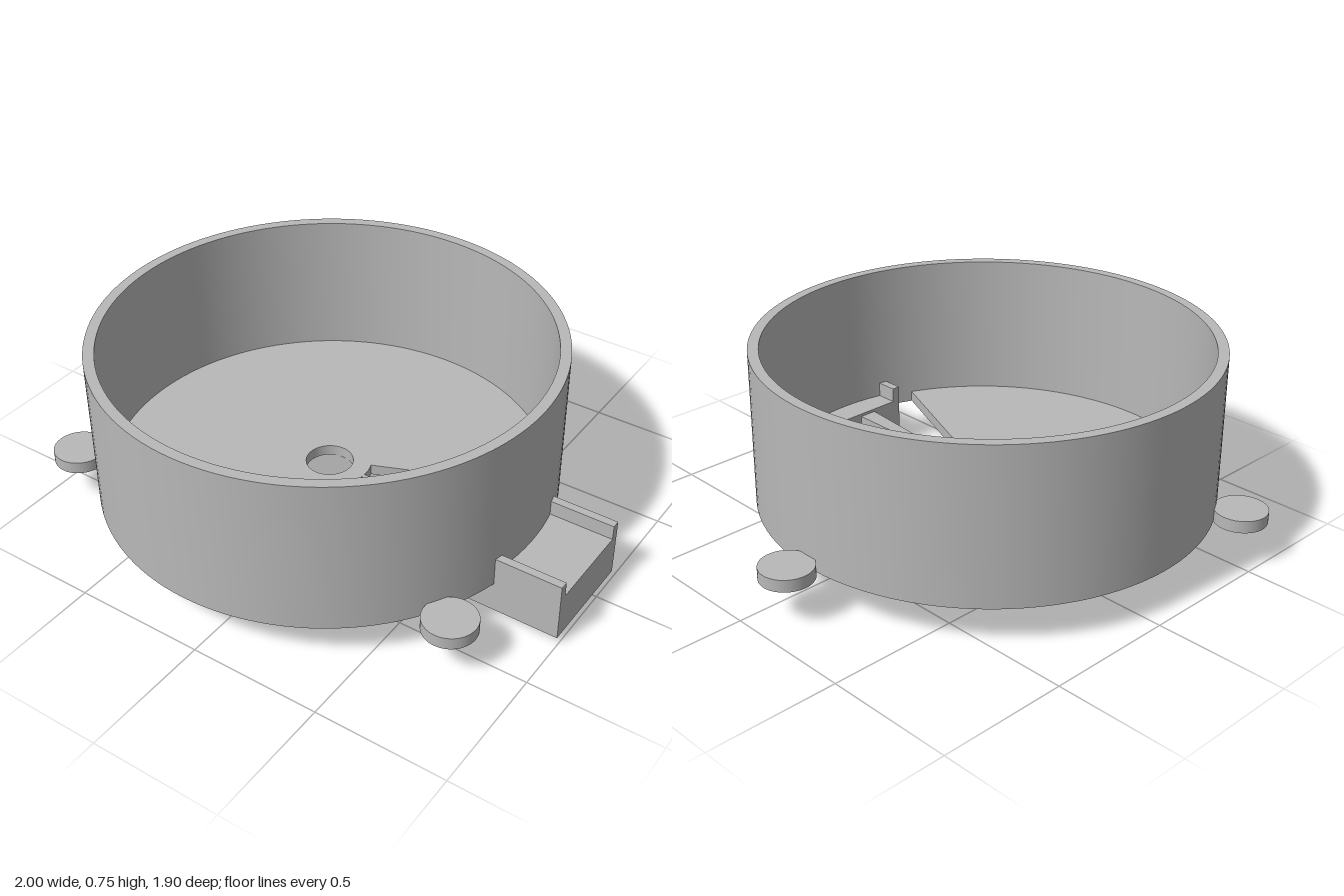
import * as THREE from 'three';
import { toCreasedNormals } from 'three/addons/utils/BufferGeometryUtils.js';

const CX = -0.085, CZ = 0.0875;          // drum axis
const BASE = 0.15, FLOOR_TOP = 0.192, RIM = 0.745;
const R_OUT = 0.855, R_IN = 0.815, R_HUB = 0.157, R_HOLE = 0.088;
const GAP = Math.PI / 8;                 // half angle of the floor opening

export function createModel() {
  const model = new THREE.Group();
  const grey = new THREE.MeshStandardMaterial({ color: 0xb8b8b8 });
  grey.name = 'plain grey';

  const add = (name, geometry, x, y, z) => {
    const mesh = new THREE.Mesh(geometry, grey);
    mesh.name = name;
    mesh.position.set(x, y, z);
    model.add(mesh);
  };
  const box = (name, x0, x1, y0, y1, z0, z1) =>
    add(name, new THREE.BoxGeometry(x1 - x0, y1 - y0, z1 - z0),
      (x0 + x1) / 2, (y0 + y1) / 2, (z0 + z1) / 2);
  // flat plate drawn in plan (shape y = model z), hanging down from FLOOR_TOP
  const plate = (name, shape) => {
    const g = new THREE.ExtrudeGeometry(shape, {
      depth: FLOOR_TOP - BASE, bevelEnabled: false, curveSegments: 96 });
    g.rotateX(Math.PI / 2);
    add(name, toCreasedNormals(g, 0.5), CX, FLOOR_TOP, CZ);
  };

  // drum wall
  const profile = [[R_IN, BASE], [R_OUT, BASE], [R_OUT, RIM], [R_IN, RIM], [R_IN, BASE]]
    .map(([r, y]) => new THREE.Vector2(r, y));
  add('drumWall', toCreasedNormals(new THREE.LatheGeometry(profile, 128), 0.5), CX, 0, CZ);

  // floor with a wedge opening and a hub hole
  const floor = new THREE.Shape();
  floor.absarc(0, 0, R_IN, GAP, 2 * Math.PI - GAP, false);
  floor.absarc(0, 0, R_HUB, -GAP, GAP, false);
  floor.closePath();
  floor.holes.push(new THREE.Path().absarc(0, 0, R_HOLE, 0, 2 * Math.PI, true));
  plate('drumFloor', floor);

  // narrow sector joining hub and chute
  const arm = new THREE.Shape();
  arm.absarc(0, 0, R_IN, 0, GAP / 4, false);
  arm.absarc(0, 0, R_HUB - 0.005, GAP / 4, 0, true);
  arm.closePath();
  plate('chuteArm', arm);

  // three mounting feet
  for (let i = 0; i < 3; i++) {
    const a = Math.PI / 6 + i * 2 * Math.PI / 3;
    add('mountingFoot', new THREE.CylinderGeometry(0.099, 0.099, 0.047, 48),
      CX + 0.945 * Math.cos(a), BASE + 0.0235, CZ + 0.945 * Math.sin(a));
  }

  // chute block: one U-shaped section run along x
  const u = new THREE.Shape([[-0.205, 0.033], [0.205, 0.033], [0.205, 0.26], [0.173, 0.26],
    [0.173, 0.203], [-0.173, 0.203], [-0.173, 0.26], [-0.205, 0.26]]
    .map(([z, y]) => new THREE.Vector2(z, y)));
  const chute = new THREE.ExtrudeGeometry(u, { depth: 0.37, bevelEnabled: false });
  chute.rotateY(Math.PI / 2);
  add('chuteBlock', chute, 0.628, 0, CZ);

  // two blades under the hub
  for (const s of [-1, 1]) {
    const z = CZ + s * 0.1;
    box('underBlade', -0.285, 0.112, 0, BASE, z - 0.0135, z + 0.0135);
  }
  return model;
}
